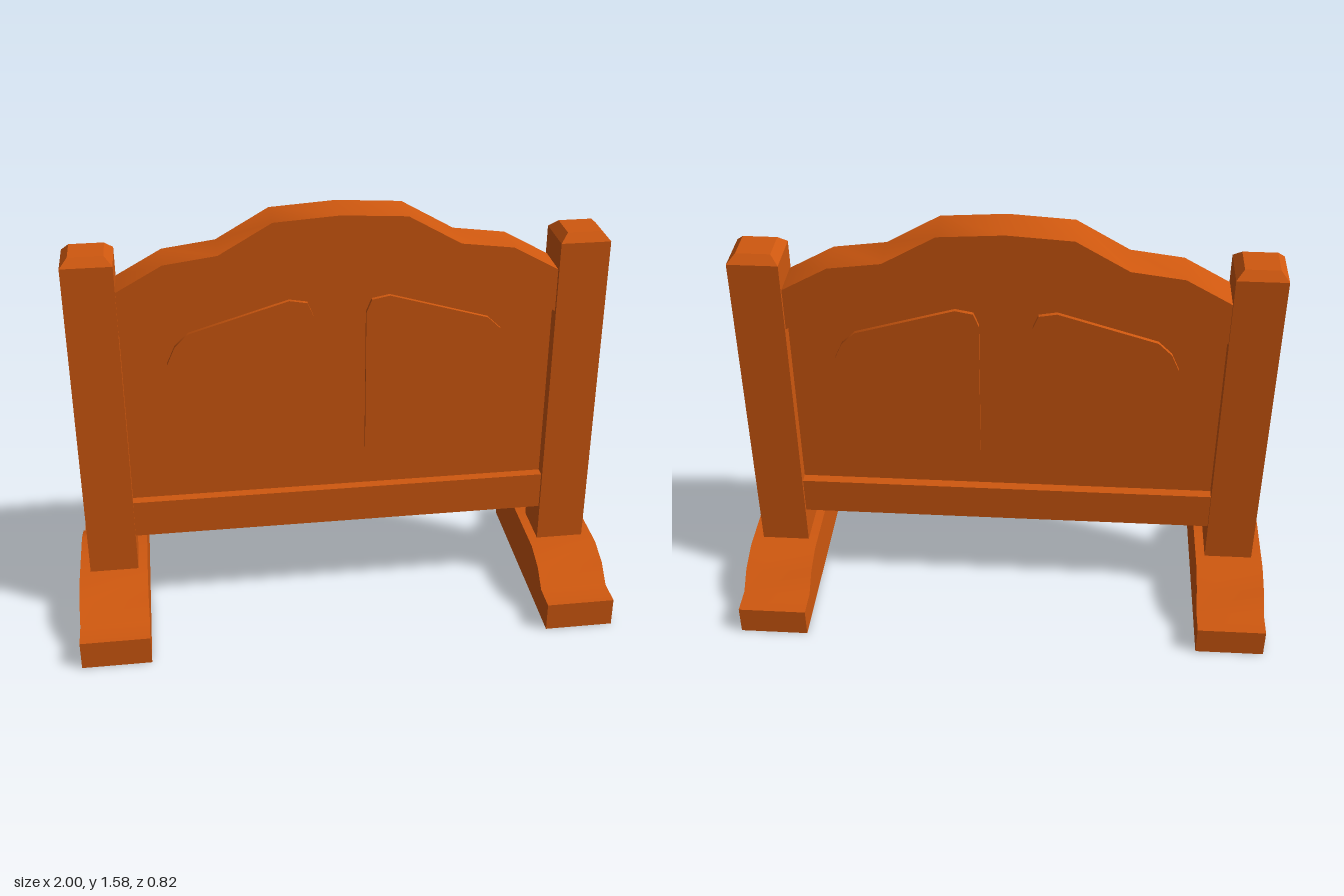
import * as THREE from 'three';
import { toCreasedNormals } from 'three/addons/utils/BufferGeometryUtils.js';

// Extrude an outline, centred on its own depth
function slab(points, depth) {
  const shape = new THREE.Shape(points.map(([x, y]) => new THREE.Vector2(x, y)));
  const geo = new THREE.ExtrudeGeometry(shape, { depth, bevelEnabled: false });
  geo.translate(0, 0, -depth / 2);
  return toCreasedNormals(geo, 0.8);
}

// Mirror a half outline (running from the centre outwards) into a full curve, left to right
const mirrored = (half) => [
  ...half.slice().reverse().map(([x, y]) => [-x, y]),
  ...half.filter(([x]) => x > 0),
];

export function createModel() {
  const group = new THREE.Group();
  const wood = new THREE.MeshStandardMaterial({ color: 0xcf580f });
  wood.name = 'orange wood';

  function add(name, geo, x = 0, y = 0, z = 0) {
    const mesh = new THREE.Mesh(geo, wood);
    mesh.name = name;
    mesh.position.set(x, y, z);
    group.add(mesh);
    return mesh;
  }

  // Curved top rail, thicker than the board below it
  const crest = mirrored([[0, 1.58], [0.235, 1.565], [0.425, 1.455], [0.615, 1.43], [0.785, 1.335]]);
  const crestLower = mirrored([[0, 1.44], [0.195, 1.425], [0.385, 1.317], [0.57, 1.297], [0.785, 1.173]]);
  add('topRail', slab([...crest, ...crestLower.slice().reverse()], 0.154));

  // Recessed board between the rails
  add('board', slab([[-0.785, 0.48], [0.785, 0.48], ...crestLower.slice().reverse()], 0.08));

  add('bottomRail', new THREE.BoxGeometry(1.57, 0.145, 0.154), 0, 0.4125, 0);

  // Raised panels, showing on both faces of the board
  const panel = [
    [0.62, 0.625], [0.592, 0.58], [0.555, 0.565], [0.195, 0.565], [0.13, 0.585], [0.095, 0.645],
    [0.095, 1.2], [0.115, 1.25], [0.18, 1.262], [0.54, 1.155], [0.59, 1.107], [0.62, 1.04],
  ];
  add('leftPanel', slab(panel, 0.11));
  add('rightPanel', slab(panel.map(([x, y]) => [-x, y]), 0.11));

  // Foot side profile, drawn along z
  const footTop = mirrored([[0, 0.2], [0.145, 0.2], [0.245, 0.168], [0.31, 0.11], [0.41, 0.11]]);
  const footGeo = slab([[-0.41, 0], [0.41, 0], ...footTop.slice().reverse()], 0.255);
  footGeo.rotateY(Math.PI / 2);

  // Chamfered post cap: a box with its upper corners drawn in
  const capGeo = new THREE.BoxGeometry(0.18, 0.03, 0.18);
  const pos = capGeo.attributes.position;
  for (let i = 0; i < pos.count; i++) {
    if (pos.getY(i) > 0) {
      pos.setX(i, pos.getX(i) * 0.68);
      pos.setZ(i, pos.getZ(i) * 0.68);
    }
  }
  capGeo.computeVertexNormals();

  for (const [side, s] of [['left', 1], ['right', -1]]) {
    add(side + 'Foot', footGeo, s * 0.8725);
    add(side + 'Post', new THREE.BoxGeometry(0.18, 1.25, 0.18), s * 0.87, 0.815, 0);
    add(side + 'PostCap', capGeo, s * 0.87, 1.455, 0);
  }

  return group;
}
